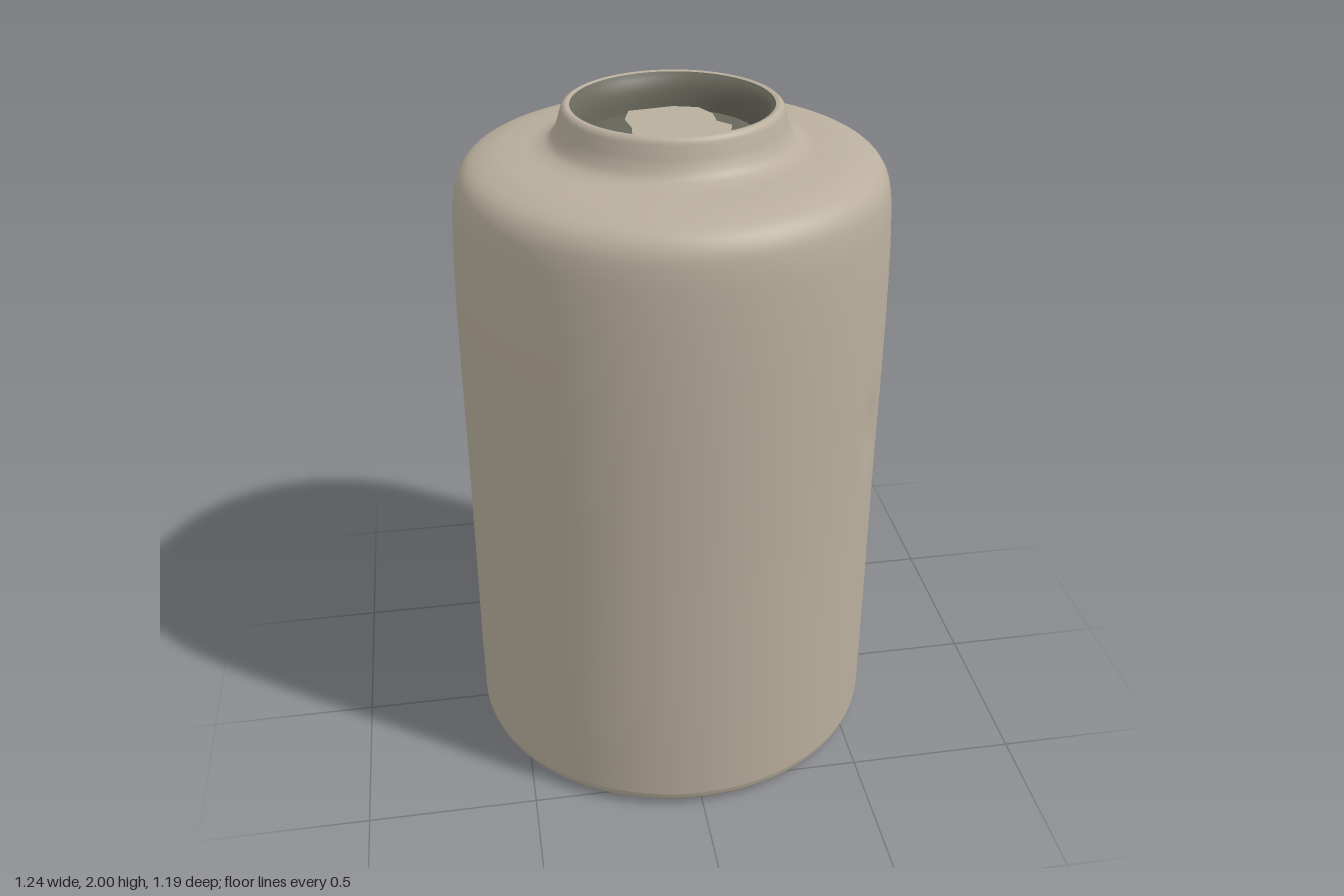
import * as THREE from 'three';
import { mergeVertices } from 'three/addons/utils/BufferGeometryUtils.js';

const clay = new THREE.MeshStandardMaterial({ color: 0xb9ae9d });
clay.name = 'warm clay';
const grey = new THREE.MeshStandardMaterial({ color: 0x66665b });
grey.name = 'olive grey';

// Slightly oval, leaning section with one shallow dent in the wall
function shape(geometry) {
  const p = geometry.attributes.position;
  for (let i = 0; i < p.count; i++) {
    const y = p.getY(i), lean = (y / 2) ** 2;
    let x = p.getX(i), z = p.getZ(i) * 0.96;
    const da = (Math.atan2(z, x) - 0.53) / 0.07, dy = (y - 1.1) / 0.11;
    const dent = 1 - 0.02 * Math.exp(-da * da - dy * dy);
    p.setXYZ(i, x * dent + 0.005 * lean, y, z * dent - 0.012 * lean);
  }
  return geometry;
}

// Smooth turned surface through [radius, height] points
function turned(points, steps) {
  const curve = new THREE.CatmullRomCurve3(points.map(([r, y]) => new THREE.Vector3(r, y, 0)));
  const profile = curve.getPoints(points.length * steps).map((v) => new THREE.Vector2(Math.max(v.x, 0), v.y));
  let g = new THREE.LatheGeometry(profile, 96);
  g.deleteAttribute('uv');
  g.deleteAttribute('normal');
  g = mergeVertices(shape(g), 1e-5);
  g.computeVertexNormals();
  return g;
}

function add(group, name, geometry, material) {
  const mesh = new THREE.Mesh(geometry, material);
  mesh.name = name;
  group.add(mesh);
  return mesh;
}

export function createModel() {
  const group = new THREE.Group();
  group.name = 'bottle';

  // Underside with a shallow recess inside the foot ring
  add(group, 'underside', turned([
    [0, 0.022], [0.25, 0.02], [0.48, 0.015], [0.54, 0.004], [0.565, 0.002],
    [0.59, 0.008], [0.612, 0.025], [0.62, 0.05],
  ], 4), clay);

  // Wall, rounded shoulder and neck
  add(group, 'body', turned([
    [0.62, 0.05], [0.62, 0.3], [0.617, 0.7], [0.616, 0.9], [0.616, 1.1], [0.616, 1.3],
    [0.614, 1.5], [0.609, 1.66], [0.601, 1.76], [0.588, 1.81], [0.56, 1.845],
    [0.5, 1.87], [0.43, 1.882], [0.37, 1.89], [0.337, 1.905], [0.318, 1.935],
    [0.307, 1.97], [0.299, 1.992], [0.288, 2], [0.277, 1.998],
  ], 5), clay);

  // Inside of the mouth
  add(group, 'innerLip', turned([
    [0.277, 1.998], [0.262, 1.985], [0.25, 1.965], [0.243, 1.94], [0.239, 1.9],
  ], 4), grey);

  // Shallow plug closing the neck
  add(group, 'mouthFloor', turned([
    [0, 1.912], [0.12, 1.91], [0.2, 1.905], [0.239, 1.9],
  ].reverse(), 4).scale(1, 1, 1), grey).material = grey;
  // the profile runs inward so the floor faces up

  // Ragged pale patch on the floor
  const outline = [
    [-0.09, -0.2], [0.04, -0.22], [0.11, -0.2], [0.14, -0.14], [0.14, -0.08],
    [0.175, -0.04], [0.16, 0.02], [0.145, 0.08], [0.1, 0.135], [0.03, 0.13],
    [-0.04, 0.135], [-0.1, 0.11], [-0.075, 0.07], [-0.11, 0.035], [-0.1, -0.06], [-0.11, -0.13],
  ];
  const patch = new THREE.ShapeGeometry(new THREE.Shape(outline.map(([x, z]) => new THREE.Vector2(x, -z))));
  patch.rotateX(-Math.PI / 2).translate(0, 1.915, 0);
  add(group, 'floorPatch', patch, clay);

  return group;
}
